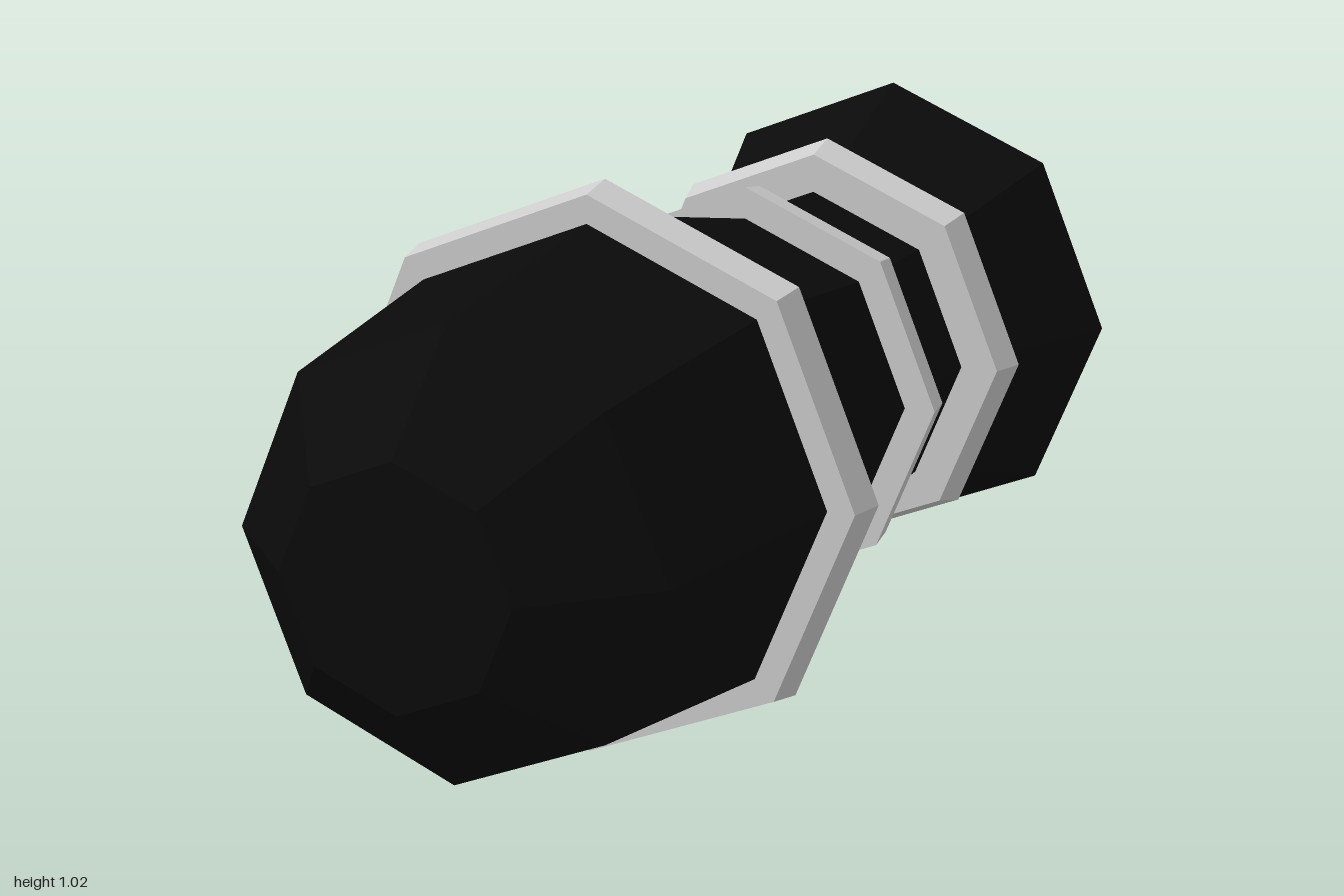
import * as THREE from 'three';

const SIDES = 8;
const AXIS_Y = 0.51;

// Faceted solid turned about the z axis; profile is [radius, z] from back to front
function turned(name, profile, material) {
  const points = profile.map(([r, z]) => new THREE.Vector2(r, z));
  const geometry = new THREE.LatheGeometry(points, SIDES);
  geometry.rotateX(Math.PI / 2);
  const mesh = new THREE.Mesh(geometry, material);
  mesh.name = name;
  mesh.position.y = AXIS_Y;
  return mesh;
}

export function createModel() {
  const model = new THREE.Group();
  model.name = 'podWithBands';
  const black = new THREE.MeshStandardMaterial({ color: 0x0a0a0a, flatShading: true });
  const grey = new THREE.MeshStandardMaterial({ color: 0xcccccc, flatShading: true });

  // Body: recessed tail, flared bell, narrow neck, swelling barrel and blunt nose
  model.add(turned('body', [
    [0, -0.8], [0.2, -0.8], [0.27, -0.97], [0.445, -1],
    [0.305, -0.65], [0.31, -0.35], [0.45, 0.28], [0.39, 0.815],
    [0.21, 1], [0, 1],
  ], black));

  // Bands: back z, front z, back radius, front radius, inner radius
  const bands = [
    ['frontBand', 0.257, 0.327, 0.508, 0.495, 0.43],
    ['middleBand', -0.372, -0.31, 0.367, 0.377, 0.29],
    ['rearBand', -0.68, -0.617, 0.396, 0.377, 0.29],
  ];
  for (const [name, z0, z1, r0, r1, inner] of bands) {
    model.add(turned(name, [[inner, z0], [r0, z0], [r1, z1], [inner, z1]], grey));
  }
  return model;
}
